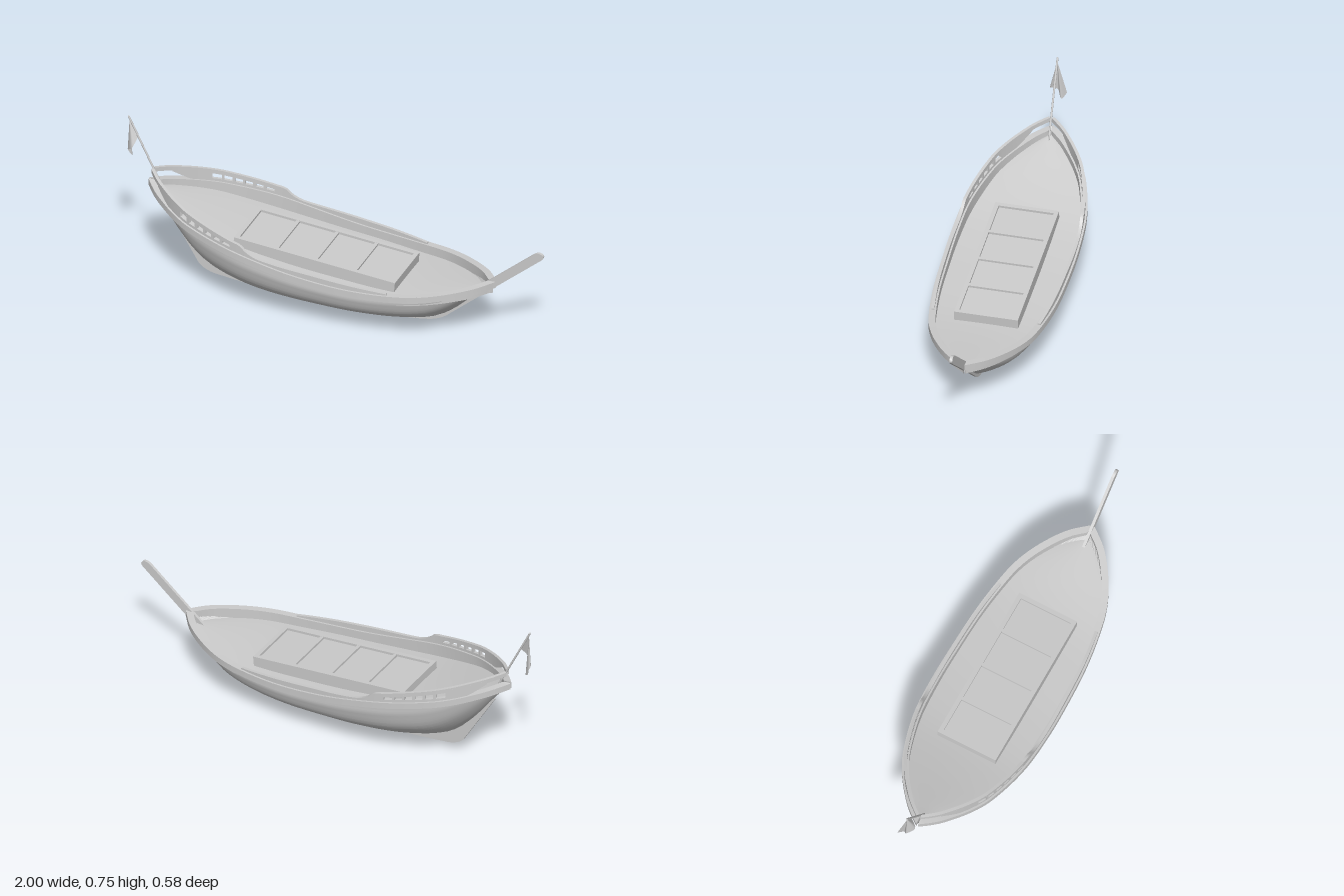
import * as THREE from 'three';
import { mergeGeometries } from 'three/addons/utils/BufferGeometryUtils.js';

const solid = new THREE.MeshStandardMaterial({ color: 0xcccccc });
const thin = new THREE.MeshStandardMaterial({ color: 0xcccccc, side: THREE.DoubleSide });

// Smooth function y(x) through a few points
function curve(pts) {
  const slope = (i) => {
    const a = pts[Math.max(i - 1, 0)], b = pts[Math.min(i + 1, pts.length - 1)];
    return (b[1] - a[1]) / (b[0] - a[0]);
  };
  return (x) => {
    let i = 0;
    while (i < pts.length - 2 && x > pts[i + 1][0]) i++;
    const [x0, y0] = pts[i], [x1, y1] = pts[i + 1], h = x1 - x0;
    const t = THREE.MathUtils.clamp((x - x0) / h, 0, 1), t2 = t * t, t3 = t2 * t;
    return (2 * t3 - 3 * t2 + 1) * y0 + (t3 - 2 * t2 + t) * h * slope(i)
      + (3 * t2 - 2 * t3) * y1 + (t3 - t2) * h * slope(i + 1);
  };
}

// Surface from rows of points
function grid(rows) {
  const n = rows[0].length, index = [];
  for (let r = 0; r < rows.length - 1; r++) {
    for (let c = 0; c < n - 1; c++) {
      const a = r * n + c, b = a + n;
      index.push(a, b, a + 1, b, b + 1, a + 1);
    }
  }
  const g = new THREE.BufferGeometry();
  g.setAttribute('position', new THREE.Float32BufferAttribute(rows.flat(2), 3));
  g.setIndex(index);
  g.computeVertexNormals();
  return g;
}

// Lines of the ship as functions of x
const STERN = -0.88, BOW = 0.77;
const halfWidth = curve([[-0.88, 0], [-0.84, 0.05], [-0.8, 0.09], [-0.7, 0.165], [-0.6, 0.217], [-0.4, 0.27],
  [-0.2, 0.285], [0, 0.283], [0.2, 0.272], [0.4, 0.242], [0.5, 0.212], [0.6, 0.16], [0.7, 0.085], [0.77, 0]]);
const sheer = curve([[-0.88, 0.45], [-0.67, 0.395], [-0.33, 0.328], [-0.1, 0.285], [0.1, 0.262], [0.3, 0.255], [0.5, 0.262], [0.77, 0.288]]);
const profile = curve([[-0.88, 0.45], [-0.79, 0.33], [-0.7, 0.21], [-0.6, 0.11], [-0.5, 0.06], [-0.3, 0.022],
  [0, 0.015], [0.3, 0.022], [0.48, 0.05], [0.56, 0.095], [0.66, 0.185], [0.77, 0.288]]);
const deckY = curve([[-0.88, 0.425], [-0.8, 0.398], [-0.6, 0.335], [-0.4, 0.282], [-0.2, 0.25], [0, 0.23], [0.35, 0.212], [0.77, 0.235]]);
const midSection = curve([[0, 0], [0.14, 0.35], [0.41, 0.73], [0.73, 0.92], [0.9, 0.96], [1, 1]]);
const endSection = curve([[0, 0], [0.2, 0.27], [0.45, 0.55], [0.72, 0.8], [1, 1]]);

const stations = (a, b, n) => Array.from({ length: n + 1 }, (_, i) => a + (b - a) * i / n);
const allStations = stations(0, Math.PI, 56).map((a) => STERN + (BOW - STERN) * (1 - Math.cos(a)) / 2);

// Plan position on the rail line, moved outward by off
function railPoint(x, off) {
  const e = 0.005, x0 = Math.max(x - e, STERN), x1 = Math.min(x + e, BOW);
  const d = (halfWidth(x1) - halfWidth(x0)) / (x1 - x0), l = Math.hypot(1, d);
  return [x - d / l * off, Math.max(halfWidth(x) + off / l, 0.004)];
}

// Plank of rectangular section that follows the rail line
function plank(xs, low, high, outer, inner, side) {
  const row = (off, h) => xs.map((x) => {
    const [px, pz] = railPoint(x, off);
    return [px, h(x), pz * side];
  });
  const r = [row(outer, low), row(outer, high), row(inner, high), row(inner, low)];
  const parts = r.map((p, i) => grid([p, r[(i + 1) % 4]]));
  for (const k of [0, xs.length - 1]) parts.push(grid([[r[0][k], r[1][k]], [r[3][k], r[2][k]]]));
  return mergeGeometries(parts);
}

// One side of the hull in overlapping strakes
function hullSide(side) {
  const n = 13, parts = [];
  const row = (s, lap) => allStations.map((x) => {
    const m = Math.min(1, Math.abs((x + 0.05) / 0.8)) ** 3;
    const f = THREE.MathUtils.lerp(midSection(s), endSection(s), m);
    const k = profile(x), w = halfWidth(x);
    const z = w * f + lap * Math.min(1, w / 0.1) * s ** 0.3;
    return [x, k + (sheer(x) - k) * s, z * side];
  });
  for (let i = 0; i < n; i++) {
    const s = (j) => (j / n) ** 1.25, a = s(i), b = s(i + 1);
    parts.push(grid(stations(0, 1, 3).map((t) => row(a + (b - a) * t, 0.004 * (1 - t)))));
    if (i < n - 1) parts.push(grid([row(b, 0), row(b, 0.004)]));
  }
  return mergeGeometries(parts);
}

export function createModel() {
  const ship = new THREE.Group();
  ship.name = 'ship';
  const add = (name, geo, mat = thin, parent = ship) => {
    const m = new THREE.Mesh(geo, mat);
    m.name = name;
    parent.add(m);
    return m;
  };

  const wingTop = curve([[-0.87, 0.506], [-0.65, 0.447], [-0.36, 0.375]]);
  const wingFoot = curve([[-0.81, 0.465], [-0.74, 0.412], [-0.66, 0.385]]);
  const washTop = curve([[-0.39, 0.382], [-0.34, 0.371], [-0.31, 0.345], [-0.25, 0.322], [0, 0.296], [0.35, 0.262]]);
  for (const side of [1, -1]) {
    const label = side > 0 ? 'Front' : 'Back';
    add('hull' + label, hullSide(side));
    // Bulwark lining and rail
    add('bulwark' + label, plank(allStations, (x) => deckY(x) - 0.01, sheer, -0.018, -0.025, side));
    add('rail' + label, plank(allStations, (x) => sheer(x) - 0.03, sheer, 0.006, -0.025, side));
    // Raised stern wing with an open balustrade
    const wing = new THREE.Group();
    wing.name = 'sternWing' + label;
    ship.add(wing);
    const strip = (name, a, b, n, low, high) => add(name, plank(stations(a, b, n), low, high, -0.003, -0.017, side), thin, wing);
    strip('topPlank', -0.87, -0.36, 24, (x) => wingTop(x) - 0.02, wingTop);
    strip('aftPanel', -0.81, -0.66, 10, wingFoot, (x) => wingTop(x) - 0.01);
    strip('footPlank', -0.67, -0.38, 10, (x) => sheer(x) - 0.005, (x) => sheer(x) + 0.012);
    strip('washboard', -0.39, 0.35, 40, (x) => sheer(x) - 0.005, washTop);
    for (let i = 1; i <= 5; i++) {
      const x = -0.66 + 0.27 * i / 6;
      strip('baluster', x - 0.006, x + 0.006, 1, sheer, (q) => wingTop(q) - 0.01);
    }
  }

  // Deck with a slight camber
  add('deck', grid(stations(-1, 1, 12).map((t) => allStations.map((x) => {
    const [px, pz] = railPoint(x, -0.02);
    return [px, deckY(x) + 0.006 * (1 - t * t), pz * t];
  }))));

  // Keel, sternpost and long raked stem
  const k = new THREE.Shape();
  k.moveTo(-0.805, 0.34);
  k.lineTo(-0.645, 0.075);
  k.quadraticCurveTo(-0.62, 0.045, -0.57, 0.035);
  k.quadraticCurveTo(-0.3, 0, 0, 0);
  k.quadraticCurveTo(0.3, 0, 0.45, 0.027);
  k.quadraticCurveTo(0.51, 0.038, 0.55, 0.075);
  k.lineTo(0.99, 0.445);
  k.quadraticCurveTo(1.01, 0.463, 0.99, 0.475);
  k.quadraticCurveTo(0.975, 0.482, 0.955, 0.468);
  k.lineTo(0.69, 0.245);
  k.lineTo(0.5, 0.085);
  k.lineTo(0.3, 0.04);
  k.lineTo(-0.3, 0.04);
  k.lineTo(-0.55, 0.1);
  k.lineTo(-0.785, 0.335);
  const keel = new THREE.ExtrudeGeometry(k, { depth: 0.013, bevelEnabled: false, curveSegments: 10 });
  add('keelAndStem', keel.translate(0, 0, -0.0065), solid);

  // Cargo hatch: coaming, frame and dividers
  const hatch = new THREE.Group();
  hatch.name = 'hatch';
  hatch.position.set(-0.035, 0.295, 0);
  hatch.rotation.z = -0.085;
  ship.add(hatch);
  const box = (name, w, h, d, x, y, z) => add(name, new THREE.BoxGeometry(w, h, d).translate(x, y, z), solid, hatch);
  box('cover', 0.76, 0.07, 0.27, 0, -0.046, 0);
  for (const s of [1, -1]) {
    box('sideCoaming', 0.77, 0.08, 0.02, 0, -0.04, s * 0.135);
    box('endCoaming', 0.02, 0.08, 0.25, s * 0.375, -0.04, 0);
  }
  for (const x of [-0.1875, 0, 0.1875]) box('divider', 0.016, 0.02, 0.25, x, -0.011, 0);

  // Raked flagstaff and hanging flag
  const foot = new THREE.Vector3(-0.81, 0.4, 0), tip = new THREE.Vector3(-0.98, 0.745, 0);
  const staff = add('flagstaff', new THREE.CapsuleGeometry(0.0045, foot.distanceTo(tip), 4, 10), solid);
  staff.position.lerpVectors(foot, tip, 0.5);
  staff.quaternion.setFromUnitVectors(new THREE.Vector3(0, 1, 0), tip.clone().sub(foot).normalize());
  const apex = new THREE.Vector3(-0.976, 0.73, 0);
  const hem = new THREE.CatmullRomCurve3([[-0.935, 0.65, 0], [-0.955, 0.6, 0.028], [-0.985, 0.575, 0], [-0.97, 0.535, -0.02], [-0.995, 0.555, -0.04]]
    .map((p) => new THREE.Vector3(...p))).getPoints(20);
  add('flag', grid(stations(0.03, 1, 8).map((v) => hem.map((p) => apex.clone().lerp(p, v).toArray()))));

  return ship;
}
